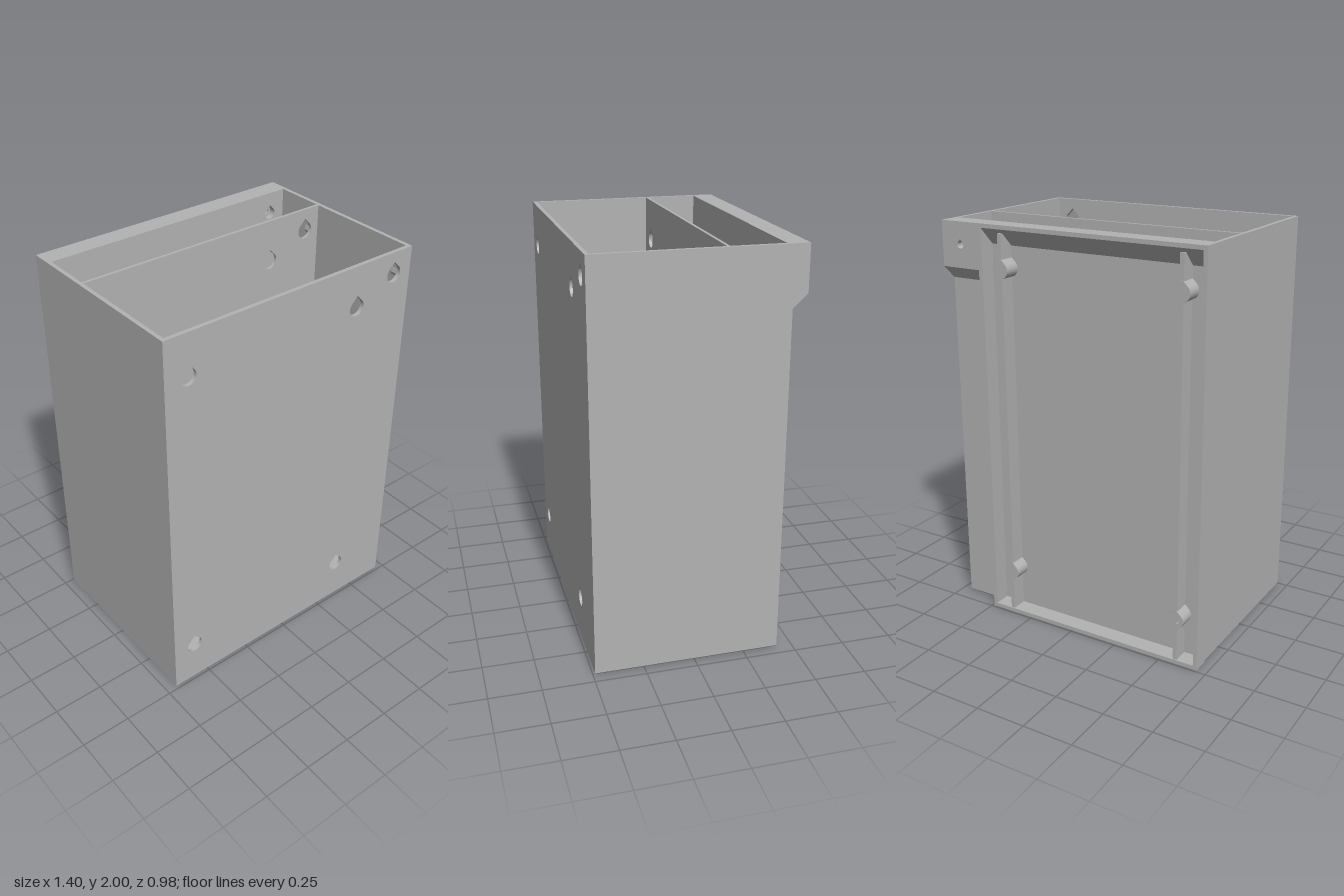
import * as THREE from 'three';

export function createModel() {
  const group = new THREE.Group();
  const grey = new THREE.MeshStandardMaterial({ color: 0xb2b2b2 });

  const add = (name, geometry) => {
    const mesh = new THREE.Mesh(geometry, grey);
    mesh.name = name;
    group.add(mesh);
    return mesh;
  };

  // Teardrop outline: round with a 45 degree peak on top
  const teardrop = (x, y, r, Type = THREE.Path) => {
    const p = new Type();
    p.absarc(x, y, r, Math.PI / 4, Math.PI * 3 / 4, true);
    p.lineTo(x, y + r * Math.SQRT2);
    p.closePath();
    return p;
  };

  const extrude = (shape, depth) =>
    new THREE.ExtrudeGeometry(shape, { depth, bevelEnabled: false, curveSegments: 28 });

  // Upright plate with optional teardrop holes along z
  const plate = (name, x0, x1, y0, y1, z0, z1, holes = [], r = 0) => {
    const s = new THREE.Shape([[x0, y0], [x1, y0], [x1, y1], [x0, y1]].map(p => new THREE.Vector2(...p)));
    s.holes = holes.map(([x, y]) => teardrop(x, y, r));
    return add(name, extrude(s, z1 - z0).translate(0, 0, z0));
  };

  // Profile of [z, y] points swept along x
  const sweep = (name, points, x0, x1) => {
    const s = new THREE.Shape(points.map(([z, y]) => new THREE.Vector2(-z, y)));
    return add(name, extrude(s, x1 - x0).rotateY(Math.PI / 2).translate(x0, 0, 0));
  };

  const mounts = [[-0.58, 1.79], [0.37, 1.79], [-0.58, 0.23], [0.37, 0.23]];
  const corner = [0.595, 1.89];
  const holes = [...mounts, corner];

  // Floor with a small chamfer underneath
  const base = new THREE.BoxGeometry(1.4, 0.01, 0.91);
  const pos = base.attributes.position;
  for (let i = 0; i < pos.count; i++) {
    if (pos.getY(i) < 0) {
      pos.setX(i, pos.getX(i) * 0.69 / 0.7);
      pos.setZ(i, pos.getZ(i) * 0.445 / 0.455);
    }
  }
  base.translate(0, 0.005, 0.035);
  base.computeVertexNormals();
  add('chamferedBase', base);
  plate('floor', -0.68, 0.68, 0.01, 0.02, -0.39, 0.47);

  // Main walls and divider
  plate('frontWall', -0.7, 0.7, 0.01, 2, 0.47, 0.49, holes, 0.042);
  plate('divider', -0.68, 0.68, 0.02, 2, -0.135, -0.12, holes, 0.042);
  plate('backWall', -0.68, 0.68, 0.01, 2, -0.405, -0.387, holes, 0.03);
  for (const s of [-1, 1]) {
    plate('sideWall', Math.min(s * 0.68, s * 0.7), Math.max(s * 0.68, s * 0.7), 0.01, 2, -0.405, 0.47);
  }

  // Stepped strip and overhanging block beside the rear frame
  plate('stepPanel', 0.48, 0.7, 0.01, 2, -0.42, -0.405, [corner], 0.03);
  plate('overhangBlock', 0.48, 0.7, 1.78, 2, -0.49, -0.42, [corner], 0.018);
  sweep('overhangSlope', [[-0.42, 1.715], [-0.42, 1.78], [-0.49, 1.78]], 0.48, 0.7);

  // Rear frame with a sloped lintel
  plate('frameSide', 0.47, 0.49, 0, 1.99, -0.49, -0.405);
  plate('frameSide', -0.7, -0.68, 0, 1.99, -0.49, -0.405);
  plate('frameSill', -0.7, 0.49, 0, 0.02, -0.49, -0.405);
  sweep('frameLintel', [[-0.405, 2], [-0.405, 1.895], [-0.49, 1.98], [-0.49, 2]], -0.7, 0.49);

  // Vertical ribs, interrupted by the mounting bosses
  for (const x of [-0.58, 0.37]) {
    for (const [y0, y1] of [[0.02, 0.195], [0.28, 1.755], [1.84, 1.96]]) {
      plate('rib', x - 0.01, x + 0.01, y0, y1, -0.485, -0.405);
    }
  }

  // Bosses: wide bore behind a narrow screw hole
  for (const [x, y] of mounts) {
    for (const [z, depth, r] of [[-0.47, 0.065, 0.03], [-0.487, 0.017, 0.018]]) {
      const s = teardrop(x, y, 0.042, THREE.Shape);
      s.holes.push(teardrop(x, y, r));
      add('mountingBoss', extrude(s, depth).translate(0, 0, z));
    }
  }

  // Small retaining bumps inside both compartments
  for (const s of [-1, 1]) {
    for (const [z, depth] of [[-0.205, 0.07], [0.4, 0.07]]) {
      const bump = new THREE.Shape([
        new THREE.Vector2(s * 0.68, 1.87), new THREE.Vector2(s * 0.673, 1.845), new THREE.Vector2(s * 0.68, 1.83),
      ]);
      add('retainingBump', extrude(bump, depth).translate(0, 0, z));
    }
  }

  return group;
}
